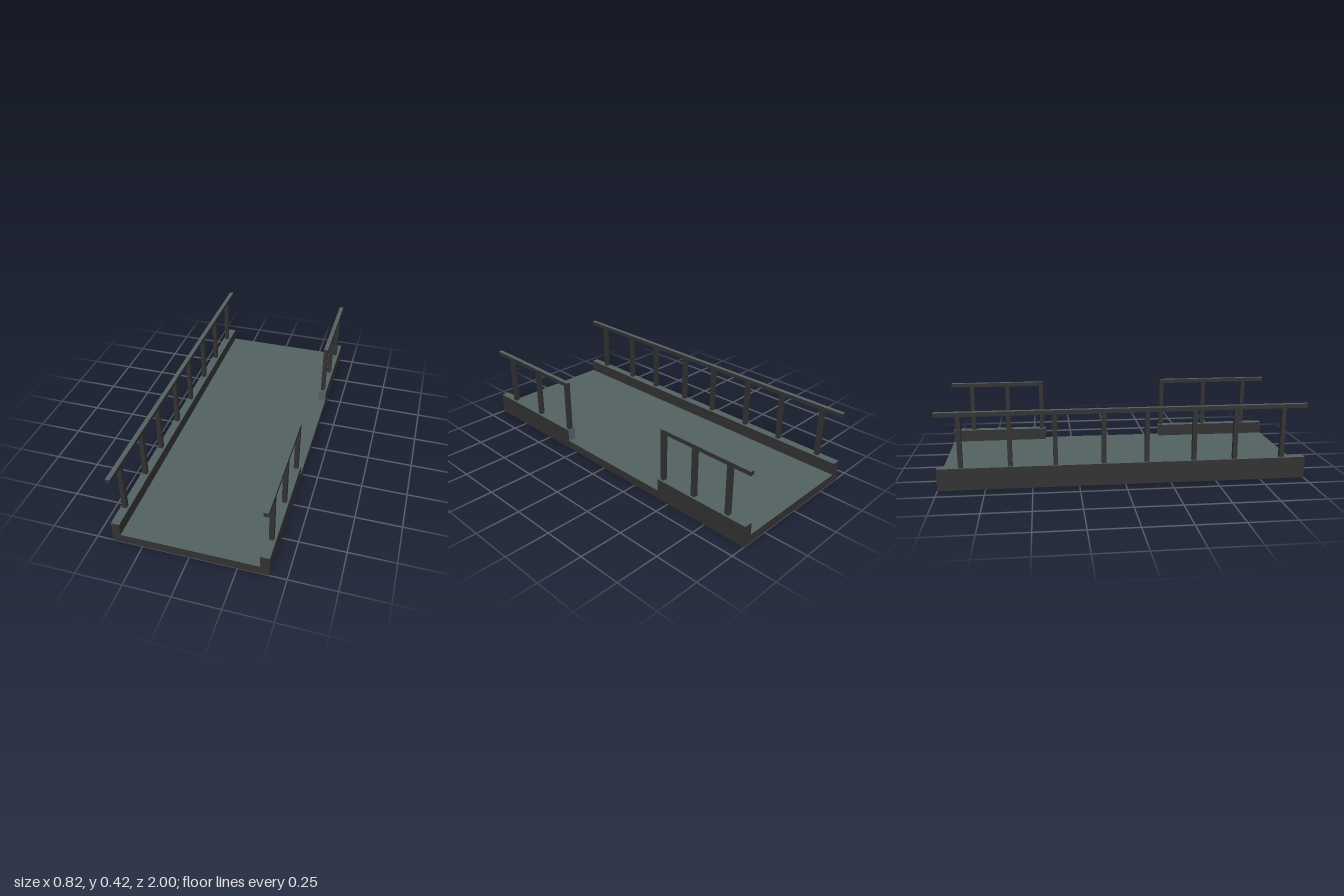
import * as THREE from 'three';

export function createModel() {
  const bridge = new THREE.Group();
  bridge.name = 'footbridge';

  const frame = new THREE.MeshStandardMaterial({ color: 0x323232 });
  frame.name = 'dark frame';
  const surface = new THREE.MeshStandardMaterial({ color: 0x546262 });
  surface.name = 'slate surface';

  // Box given by its limits; faces listed in lightFaces take the surface colour
  // (0 +x, 1 -x, 2 +y, 3 -y, 4 +z, 5 -z)
  function block(name, parent, [x0, x1], [y0, y1], [z0, z1], lightFaces = [2]) {
    const geometry = new THREE.BoxGeometry(x1 - x0, y1 - y0, z1 - z0);
    const materials = [0, 1, 2, 3, 4, 5].map((i) => (lightFaces.includes(i) ? surface : frame));
    const mesh = new THREE.Mesh(geometry, materials);
    mesh.position.set((x0 + x1) / 2, (y0 + y1) / 2, (z0 + z1) / 2);
    mesh.name = name;
    parent.add(mesh);
  }

  const deckTop = 0.049, curbTop = 0.12, railBottom = 0.397, railTop = 0.42;
  const half = 0.0122; // half thickness of posts and rails

  // Deck
  block('deck', bridge, [-0.412, 0.412], [0, deckTop], [-1, 1]);

  // Curb with a handrail on posts
  function railing(name, curbX, railX, curbZ, railZ, posts, lightFaces) {
    const group = new THREE.Group();
    group.name = name;
    const x = [railX - half, railX + half];
    block('curb', group, curbX, [deckTop, curbTop], curbZ, lightFaces);
    block('handrail', group, x, [railBottom, railTop], railZ);
    for (const z of posts) {
      block('post', group, x, [curbTop, railBottom], [z - half, z + half], []);
    }
    bridge.add(group);
  }

  // Unbroken railing on the right, two short ones around the opening on the left
  railing('rightRailing', [-0.412, -0.366], -0.391, [-1, 1], [-1, 1],
    [0.87, 0.605, 0.378, 0.118, -0.115, -0.375, -0.615, -0.875], [2]);
  railing('frontLeftRailing', [0.364, 0.412], 0.388, [0.314, 1], [0.319, 1],
    [0.87, 0.605, 0.331], [2, 5]);
  railing('backLeftRailing', [0.364, 0.412], 0.388, [-1, -0.422], [-1, -0.433],
    [-0.445, -0.656, -0.875], [2, 4]);

  return bridge;
}
